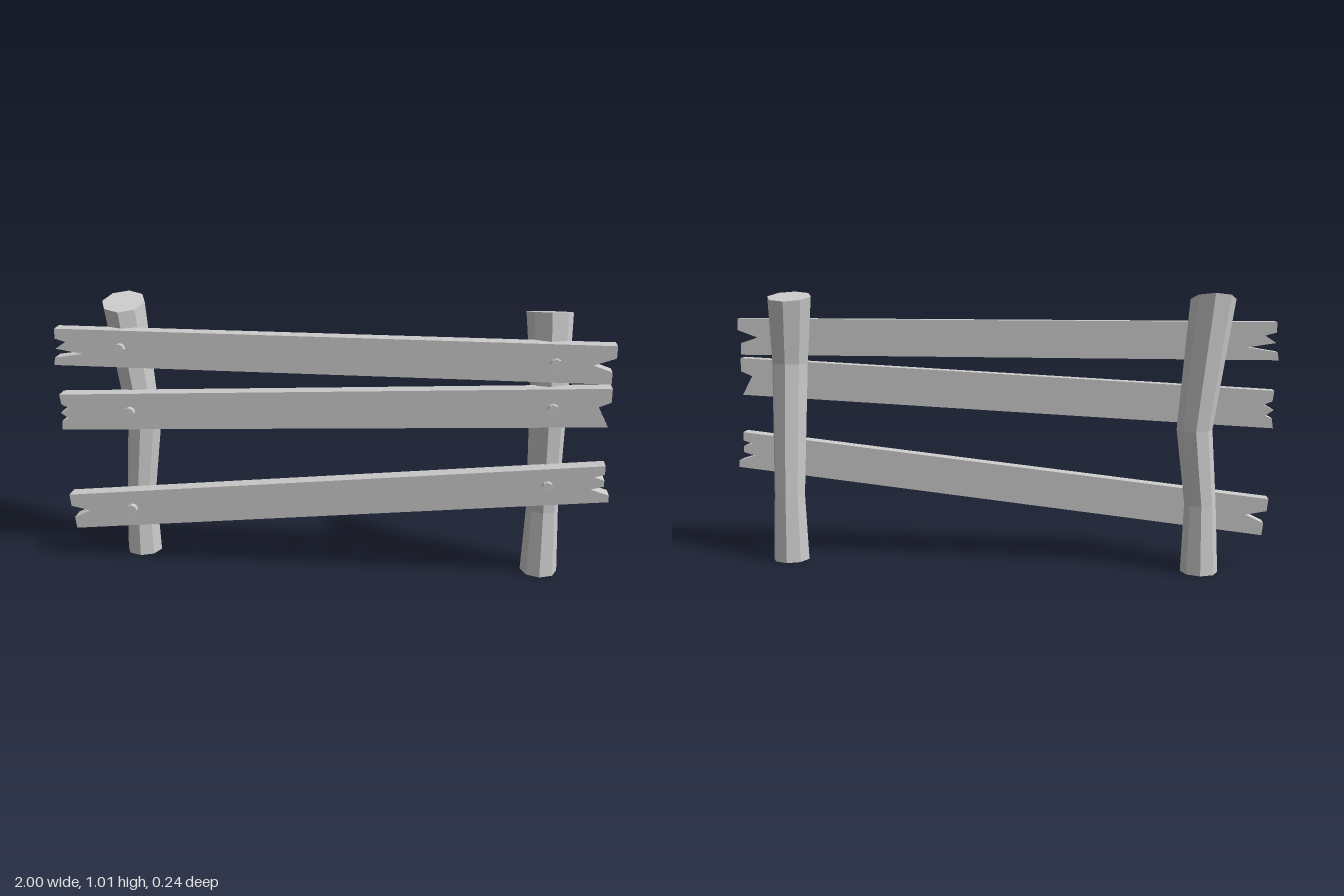
import * as THREE from 'three';

const material = new THREE.MeshStandardMaterial({ color: 0xcccccc, flatShading: true });
const SLOPE = 0.02; // planks drift forward towards +x
const THICKNESS = 0.054;

// Crooked octagonal log: each ring is [x, y, z, radius, tilt], tilt = dy/dz of the cut
function makePost(name, rings) {
  const n = rings.length - 1;
  const geometry = new THREE.CylinderGeometry(1, 1, n, 8, n);
  const pos = geometry.attributes.position;
  for (let i = 0; i < pos.count; i++) {
    const [cx, cy, cz, r, tilt] = rings[Math.round(pos.getY(i) + n / 2)];
    const dx = pos.getX(i) * r, dz = pos.getZ(i) * r;
    pos.setXYZ(i, cx + dx, cy + dz * tilt, cz + dz);
  }
  geometry.computeVertexNormals();
  const mesh = new THREE.Mesh(geometry, material);
  mesh.name = name;
  return mesh;
}

// Plank with splintered ends, extruded from its outline and sheared along z
function makePlank(name, backZ, outline, bolts) {
  const group = new THREE.Group();
  group.name = name;
  const shape = new THREE.Shape(outline.map(([x, y]) => new THREE.Vector2(x, y)));
  const geometry = new THREE.ExtrudeGeometry(shape, { depth: THICKNESS, bevelEnabled: false });
  const pos = geometry.attributes.position;
  for (let i = 0; i < pos.count; i++) {
    pos.setZ(i, pos.getZ(i) + backZ + SLOPE * pos.getX(i));
  }
  geometry.computeVertexNormals();
  const board = new THREE.Mesh(geometry, material);
  board.name = 'board';
  group.add(board);

  // Bolt heads standing out of the front face
  for (const [x, y] of bolts) {
    const bolt = new THREE.Mesh(new THREE.CylinderGeometry(0.02, 0.02, 0.04, 8), material);
    bolt.name = 'bolt';
    bolt.rotation.x = Math.PI / 2;
    bolt.position.set(x, y, backZ + THICKNESS + SLOPE * x);
    group.add(bolt);
  }
  return group;
}

export function createModel() {
  const model = new THREE.Group();
  model.name = 'fence';

  // Posts
  model.add(
    makePost('rightPost', [
      [-0.737, 0, -0.041, 0.067, 0],
      [-0.735, 0.25, -0.037, 0.056, 0],
      [-0.708, 0.52, -0.038, 0.063, 0],
      [-0.76, 0.982, -0.04, 0.079, -0.3],
    ]),
    makePost('leftPost', [
      [0.781, 0, -0.014, 0.068, 0],
      [0.78, 0.25, -0.018, 0.058, 0],
      [0.772, 0.74, 0.01, 0.067, 0],
      [0.76, 0.985, -0.018, 0.081, 0.19],
    ]),
  );

  // Planks: outlines run counter-clockwise from the lower -x corner
  model.add(
    makePlank('topPlank', 0.03, [
      [-1, 0.765], [0.97, 0.765], [0.97, 0.808], [0.905, 0.83], [0.98, 0.857], [0.98, 0.9],
      [-0.99, 0.9], [-0.99, 0.863], [-0.95, 0.852], [-0.99, 0.826], [-0.89, 0.81], [-0.995, 0.793],
    ], [[-0.75, 0.835], [0.78, 0.832]]),
    makePlank('middlePlank', 0.035, [
      [-0.99, 0.52], [0.97, 0.613], [0.943, 0.665], [0.932, 0.684], [0.975, 0.702], [0.975, 0.752],
      [-0.99, 0.655], [-0.985, 0.617], [-0.955, 0.605], [-0.99, 0.585], [-0.96, 0.565], [-0.985, 0.555],
    ], [[-0.727, 0.6], [0.78, 0.672]]),
    makePlank('bottomPlank', 0.035, [
      [-0.965, 0.125], [0.995, 0.335], [0.995, 0.36], [0.93, 0.38], [0.975, 0.393], [0.975, 0.416],
      [0.94, 0.426], [0.975, 0.438], [0.975, 0.47],
      [-0.985, 0.26], [-0.98, 0.215], [-0.905, 0.2], [-0.97, 0.17],
    ], [[-0.74, 0.218], [0.78, 0.385]]),
  );
  return model;
}
